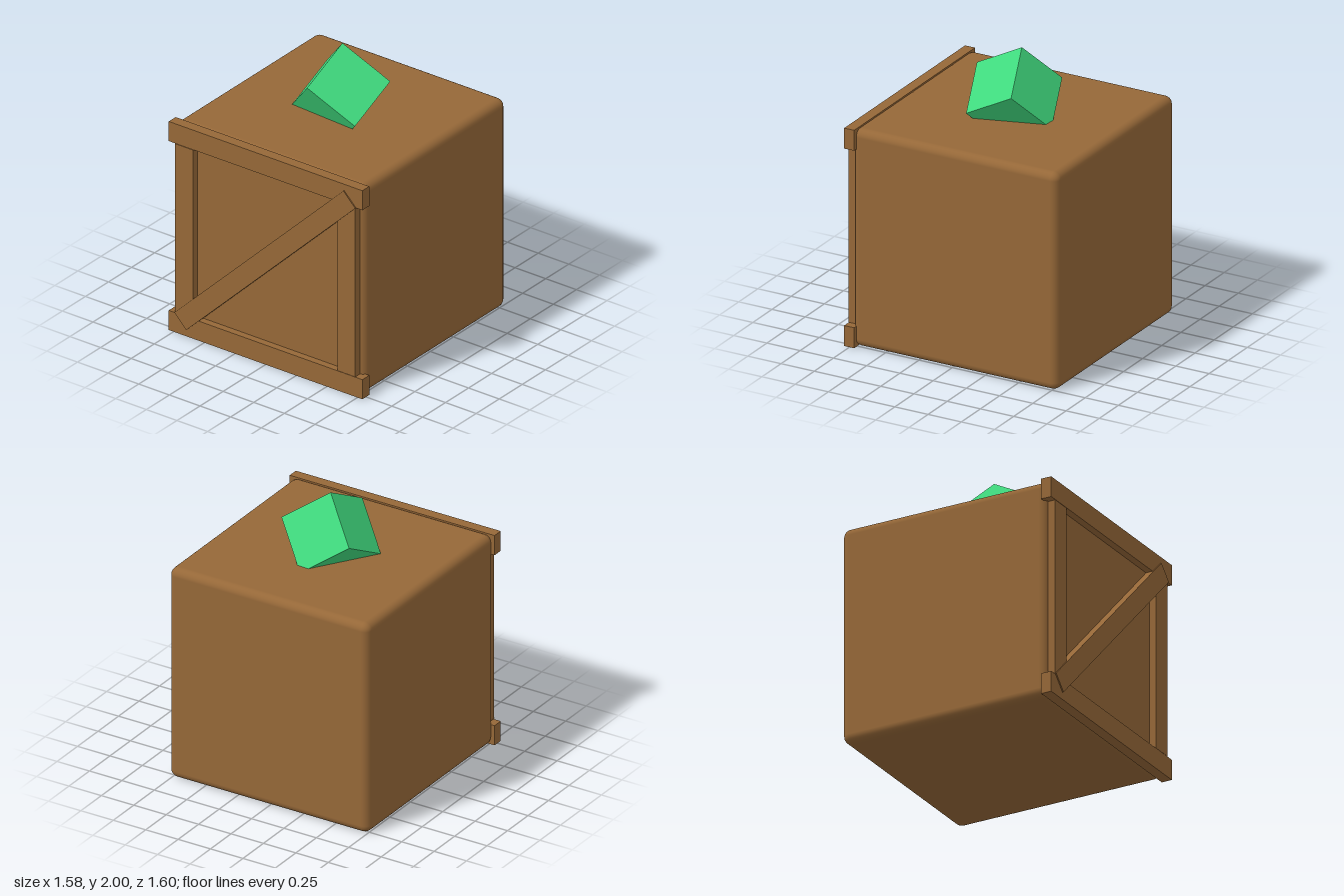
import * as THREE from 'three';
import { RoundedBoxGeometry } from 'three/addons/geometries/RoundedBoxGeometry.js';

export function createModel() {
  const model = new THREE.Group();
  const wood = new THREE.MeshStandardMaterial({ color: 0x966838 });
  wood.name = 'wood';
  const green = new THREE.MeshStandardMaterial({ color: 0x40da7e });
  green.name = 'green';

  const add = (name, geometry, material, x, y, z) => {
    const mesh = new THREE.Mesh(geometry, material);
    mesh.name = name;
    mesh.position.set(x, y, z);
    model.add(mesh);
    return mesh;
  };

  // Crate body with softly rounded edges
  add('crateBody', new RoundedBoxGeometry(1.54, 1.54, 1.54, 3, 0.055), wood, 0, 0.772, -0.03);

  // Front frame: wide rails above and below, posts between them
  for (const [name, y] of [['bottomRail', 0.0725], ['topRail', 1.4725]]) {
    add(name, new THREE.BoxGeometry(1.58, 0.145, 0.075), wood, 0, y, 0.7525);
  }
  for (const [name, x] of [['rightPost', -0.664], ['leftPost', 0.659]]) {
    add(name, new THREE.BoxGeometry(0.146, 1.25, 0.055), wood, x, 0.772, 0.7625);
  }

  // Diagonal brace, just proud of the frame
  const brace = add('diagonalBrace', new THREE.BoxGeometry(1.93, 0.138, 0.06), wood, 0, 0.775, 0.768);
  brace.rotation.z = Math.atan2(1.35, 1.38);

  // Tilted cube half sunk into the lid
  const cube = add('tiltedCube', new THREE.BoxGeometry(0.4, 0.4, 0.4), green, -0.0025, 1.6575, -0.0325);
  const xAxis = new THREE.Vector3(0.315, -0.225, -0.1).normalize();
  const yAxis = new THREE.Vector3(-0.025, -0.19, 0.355).cross(xAxis).normalize();
  const zAxis = xAxis.clone().cross(yAxis);
  cube.quaternion.setFromRotationMatrix(new THREE.Matrix4().makeBasis(xAxis, yAxis, zAxis));

  return model;
}
